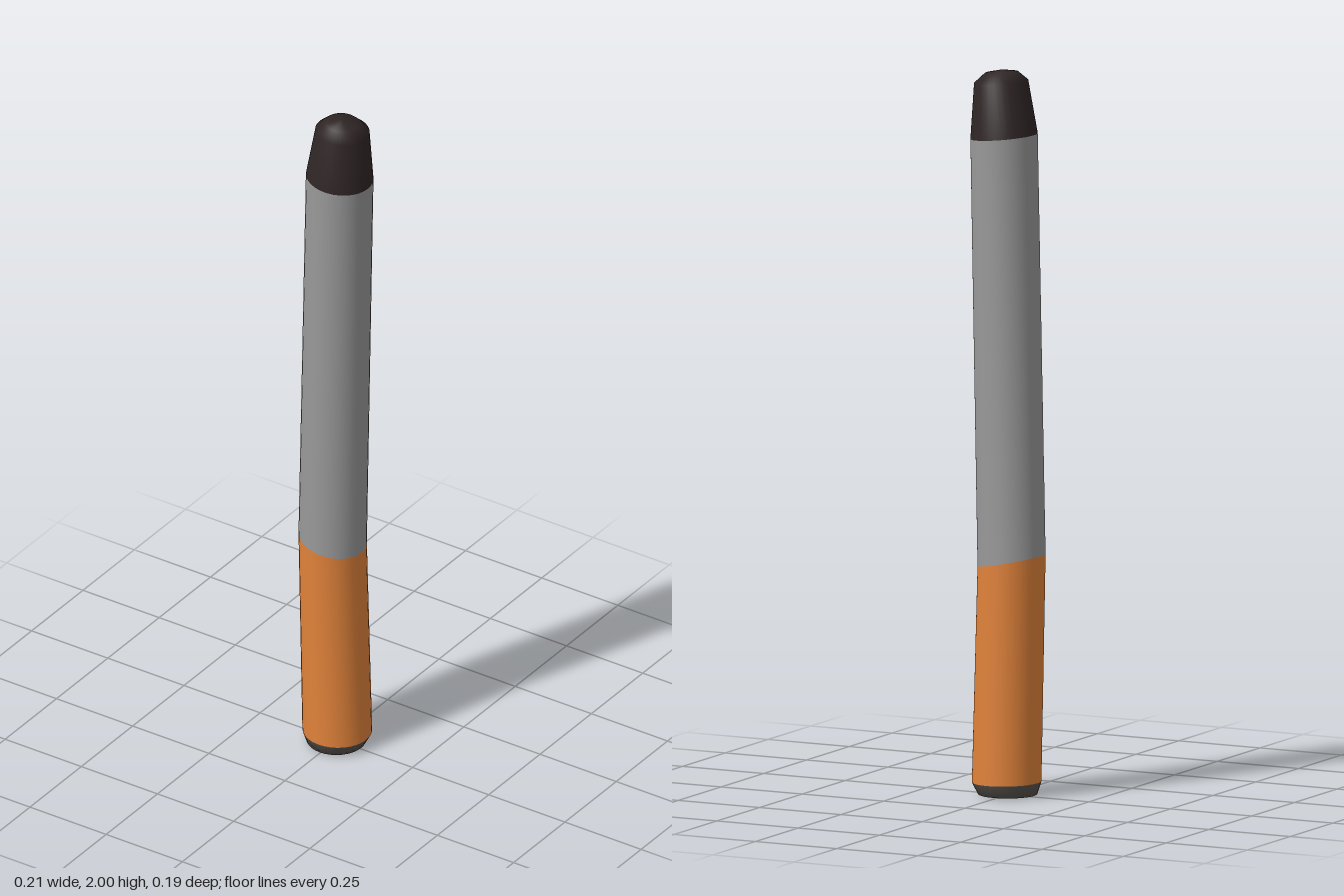
import * as THREE from 'three';

const SIDES = 32;

// Skins a list of rings [centreX, y, radius, tilt]; radius 0 makes a closed pole.
function skin(name, rings, material) {
  const pos = [], index = [];
  for (const [cx, y, r, tilt] of rings) {
    for (let i = 0; i < SIDES; i++) {
      const a = (i / SIDES) * Math.PI * 2;
      const dx = Math.cos(a) * r;
      pos.push(cx + dx, y + tilt * dx, Math.sin(a) * r);
    }
  }
  for (let k = 0; k < rings.length - 1; k++) {
    for (let i = 0; i < SIDES; i++) {
      const j = (i + 1) % SIDES;
      const a = k * SIDES + i, b = k * SIDES + j;
      const c = a + SIDES, d = b + SIDES;
      if (rings[k + 1][2] > 0) index.push(a, c, d);
      if (rings[k][2] > 0) index.push(a, d, b);
    }
  }
  const geo = new THREE.BufferGeometry();
  geo.setAttribute('position', new THREE.Float32BufferAttribute(pos, 3));
  geo.setIndex(index);
  geo.computeVertexNormals();
  const mesh = new THREE.Mesh(geo, material);
  mesh.name = name;
  return mesh;
}

export function createModel() {
  const filterOrange = new THREE.MeshStandardMaterial({ color: 0xe0823a });
  const paperGrey = new THREE.MeshStandardMaterial({ color: 0x999999 });
  const charBrown = new THREE.MeshStandardMaterial({ color: 0x2f2525 });
  const endGrey = new THREE.MeshStandardMaterial({ color: 0x5b5650 });

  // Rings where two parts meet
  const base = [0.003, 0.037, 0.095, -0.02];
  const bend = [-0.012, 0.648, 0.093, -0.2];
  const burn = [0.011, 1.817, 0.092, -0.1];

  const group = new THREE.Group();
  group.name = 'bentStick';
  group.add(
    // Bevelled bottom end
    skin('bottomEnd', [[0, 0, 0, 0], [0, 0.003, 0.081, 0], base], endGrey),
    // Lower wrap, leaning left up to the bend
    skin('lowerWrap', [base, bend], filterOrange),
    // Long tube, leaning right above the bend
    skin('upperTube', [bend, burn], paperGrey),
    // Tapered dark tip with a low dome
    skin('burntTip', [
      burn, [0.02, 1.967, 0.074, -0.07], [0.019, 1.992, 0.046, -0.06], [0.018, 2, 0, 0],
    ], charBrown),
  );
  return group;
}
